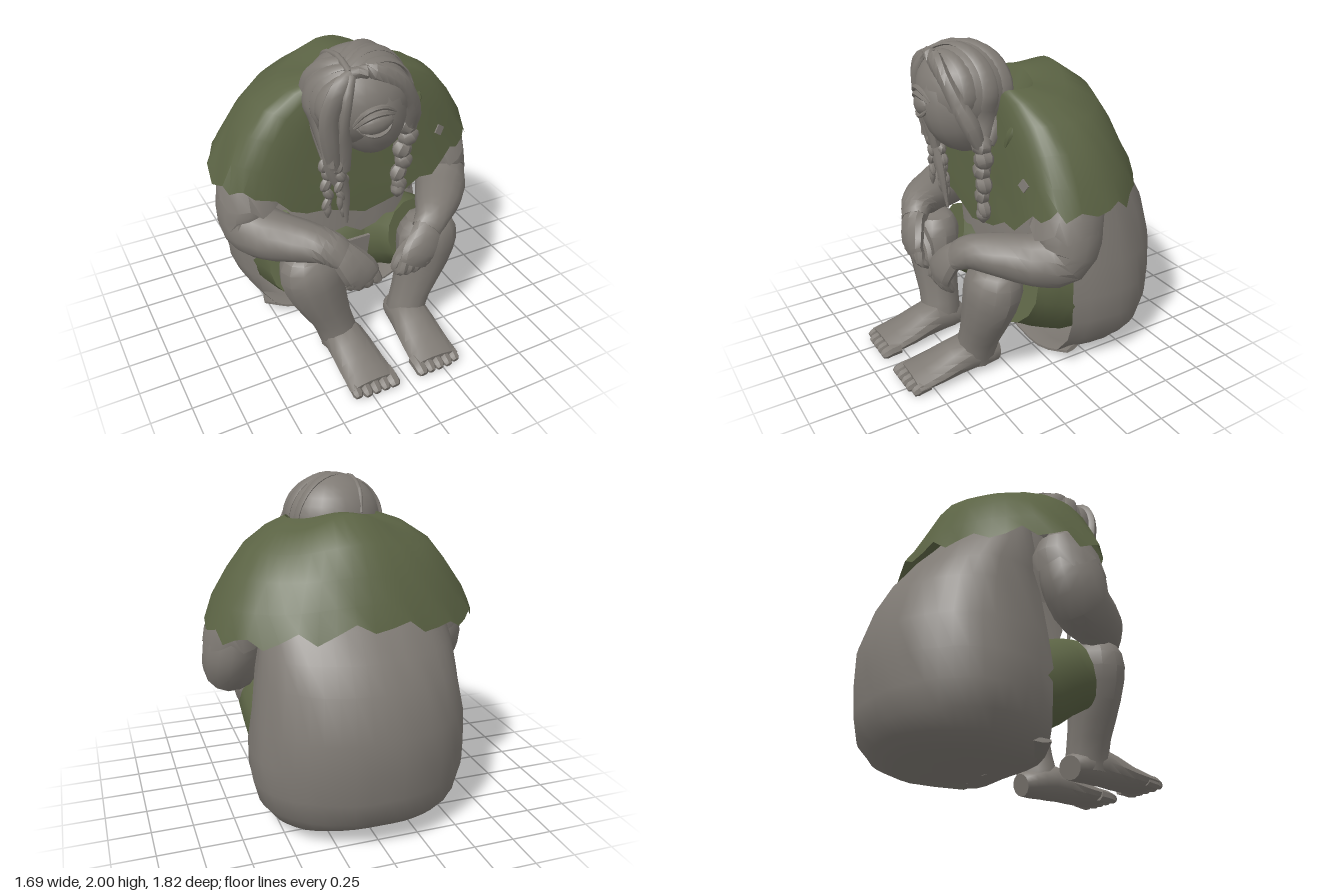
import * as THREE from 'three';
import { toCreasedNormals } from 'three/addons/utils/BufferGeometryUtils.js';

const grey = new THREE.MeshStandardMaterial({ color: 0x7f7a74, side: THREE.DoubleSide });
grey.name = 'stone grey';
const green = new THREE.MeshStandardMaterial({ color: 0x5b6344, side: THREE.DoubleSide });
green.name = 'moss green';

let seed = 7;
const rnd = () => (seed = (seed * 16807) % 2147483647) / 2147483647;

function mesh(name, geo, mat, crease = 0.6) {
  const m = new THREE.Mesh(toCreasedNormals(geo, crease), mat);
  m.name = name;
  return m;
}

function build(pos, idx) {
  const g = new THREE.BufferGeometry();
  g.setAttribute('position', new THREE.Float32BufferAttribute(pos, 3));
  g.setIndex(idx);
  return g;
}

// Closed limb along a curve; points are [x, y, z, width radius, depth radius]
function limb(pts, n = 10, sub = 2, side = [1, 0, 0]) {
  const path = new THREE.CatmullRomCurve3(pts.map(p => new THREE.Vector3(p[0], p[1], p[2])), false, 'catmullrom');
  const rad = new THREE.CatmullRomCurve3(pts.map(p => new THREE.Vector3(p[3], p[4] ?? p[3], 0)), false, 'catmullrom');
  const rows = (pts.length - 1) * sub, pos = [], idx = [], s = new THREE.Vector3(...side);
  for (let i = 0; i <= rows; i++) {
    const c = path.getPoint(i / rows), r = rad.getPoint(i / rows), t = path.getTangent(i / rows);
    const u = s.clone().addScaledVector(t, -s.dot(t)).normalize(), v = t.clone().cross(u);
    for (let j = 0; j < n; j++) {
      const a = j / n * Math.PI * 2;
      const p = c.clone().addScaledVector(u, r.x * Math.cos(a)).addScaledVector(v, r.y * Math.sin(a));
      pos.push(p.x, p.y, p.z);
    }
  }
  for (let i = 0; i < rows; i++) for (let j = 0; j < n; j++) {
    const k = (j + 1) % n, a = i * n + j, b = i * n + k;
    idx.push(a, b, b + n, a, b + n, a + n);
  }
  const e = pos.length / 3, last = rows * n;
  for (const i of [0, pts.length - 1]) pos.push(pts[i][0], pts[i][1], pts[i][2]);
  for (let j = 0; j < n; j++) {
    const k = (j + 1) % n;
    idx.push(e, k, j, e + 1, last + j, last + k);
  }
  return build(pos, idx);
}

// Draped cloth from rings [yBack, ySide, yFront, rx, zCentre, zBack, zFront], top to bottom
function drape(rings, { n = 48, a0 = 0, a1 = Math.PI * 2, jag = 0.05, hem = rings.length - 1, cx = 0, rough = 0.01, square = 1 } = {}) {
  const pos = [], idx = [];
  rings.forEach(([yb, ys, yf, rx, zc, zb, zf], i) => {
    const start = pos.length;
    for (let j = 0; j <= n; j++) {
      const a = a0 + (a1 - a0) * j / n, c = Math.cos(a), s = Math.sin(a), k = 1 + (rnd() - 0.5) * rough * 2;
      const w = Math.abs(c) ** (4 / square), p = c > 0 ? square : 1;
      const tear = i === hem ? jag * ((j % 3) - 1) * (0.4 + rnd()) : 0;
      const depth = c > 0 ? (zf - zc) * c ** p : (zc - zb) * c;
      pos.push(cx + rx * Math.sign(s) * Math.abs(s) ** p * k, ys + ((c > 0 ? yf : yb) - ys) * w + tear, zc + depth * k);
    }
    if (a1 - a0 > 6.28) for (let d = 0; d < 3; d++) pos[pos.length - 3 + d] = pos[start + d];
  });
  for (let i = 0; i < rings.length - 1; i++) for (let j = 0; j < n; j++) {
    const a = i * (n + 1) + j, b = a + n + 1;
    idx.push(a, b, b + 1, a, b + 1, a + 1);
  }
  return build(pos, idx);
}

function ball(name, [x, y, z], [rx, ry, rz], mat, w = 18, h = 12) {
  const m = mesh(name, new THREE.SphereGeometry(1, w, h).scale(rx, ry, rz), mat, 0.7);
  m.position.set(x, y, z);
  return m;
}

function makeSide(s) {
  const g = new THREE.Group();
  g.name = s > 0 ? 'leftLimbs' : 'rightLimbs';
  const L = (name, pts, mat = grey, n, sub) => g.add(mesh(name, limb(pts.map(p => [p[0] * s, ...p.slice(1)]), n, sub), mat));
  L('trouserLeg', [[.3, .38, -.38, .25], [.31, .45, -.1, .29, .27], [.36, .54, .1, .25, .24], [.39, .59, .24, .215, .215]], green, 14);
  L('shin', [[.42, .81, .36, .04], [.42, .77, .36, .15, .13], [.405, .65, .37, .2, .17], [.365, .48, .39, .175, .15],
    [.29, .27, .4, .13, .13], [.25, .14, .41, .125, .13], [.24, .07, .41, .12, .125]], grey, 12);
  L('foot', [[.25, .075, .28, .09, .07], [.245, .09, .34, .115, .088], [.235, .115, .48, .13, .112], [.225, .075, .68, .148, .073], [.22, .05, .85, .155, .045]], grey, 14);
  for (let i = 0; i < 5; i++) {
    const x = .1 + i * .06, r = i ? .032 : .04, end = i < 4 ? .905 : .89;
    L('toe', [[x, .05, .78, r], [x, .045, .84, r, .038], [x, .035, end - .02, r, .033], [x, .028, end, r * .65, .02]], grey, 7, 1);
  }
  L('arm', [[.54, 1.36, 0, .06], [.62, 1.22, .01, .14, .15], [.665, 1.04, .02, .17, .195], [.67, .89, .07, .168, .175], [.585, .87, .22, .16, .15],
    [.46, .89, .38, .14, .12], [.36, .89, .49, .11, .095], [.28, .84, .55, .092, .068]], grey, 14, 3);
  L('palm', [[.33, .9, .5, .07, .06], [.27, .83, .565, .095, .06], [.2, .73, .605, .115, .05], [.165, .66, .605, .105, .04]], grey, 10);
  for (let i = 0; i < 4; i++) {
    const x = .085 + i * .055, y = .7 + i * .008, tip = .585 - (i === 1 || i === 2 ? .02 : 0);
    L('finger', [[x + .02, y, .605, .032], [x, y - .06, .61, .032], [x - .005, tip + .03, .58, .028], [x - .005, tip, .555, .016]], grey, 7);
  }
  L('thumb', [[.19, .8, .55, .035], [.12, .72, .54, .034], [.075, .65, .55, .029], [.06, .61, .55, .014]], grey, 7);
  // Torn undershirt sleeve below the cape hem
  g.add(mesh('sleeve', drape([[1.26, 1.26, 1.26, .14, 0, -.16, .145], [1.16, 1.16, 1.16, .185, .02, -.2, .2], [1.06, 1.06, 1.04, .2, .03, -.19, .24]],
    { n: 18, jag: .035, cx: .637 * s }), grey));
  return g;
}

function makeHead() {
  const g = new THREE.Group();
  g.name = 'head';
  g.add(mesh('neck', limb([[0, 1.4, -.05, .2], [-.02, 1.55, .1, .17], [-.04, 1.68, .25, .15]]), grey));
  const face = ball('face', [-.025, 1.665, .3], [.225, .31, .275], grey);
  face.rotation.z = .16;
  const C = [-.065, 1.715, .285], R = [.305, .28, .28];
  g.add(face, ball('hairCap', C, R, grey, 24, 16));

  // Single half-closed eye with lids and brow
  const eye = new THREE.Group();
  eye.name = 'eye';
  eye.add(ball('eyeball', [0, 0, -.02], [.105, .065, .045], grey, 14, 8));
  const arc = (name, w, h, y, r) => eye.add(mesh(name, limb([[-w, y, -.03, r * .5], [-w * .55, y + h * .75, 0, r], [0, y + h, .01, r],
    [w * .55, y + h * .75, 0, r], [w, y, -.03, r * .5]], 6, 2, [0, 0, 1]), grey));
  arc('upperLid', .12, .06, .005, .017);
  arc('lowerLid', .11, -.065, 0, .012);
  arc('lidEdge', .1, -.012, .005, .008);
  arc('brow', .125, .085, .02, .014);
  eye.position.set(-.085, 1.655, .565);
  eye.rotation.set(.02, -.12, .2);
  g.add(eye);

  // Flat hair strands fanning from the parting over the cap, gathered at the braid roots
  const lock = (name, pts, side) => g.add(mesh(name, limb(pts, 8, 3, side), grey, 0.8));
  const strand = (name, z0, z1, from, to, root) => {
    const pts = [];
    for (let i = 0; i < 6; i++) {
      const t = i / 5, a = THREE.MathUtils.degToRad(from + (to - from) * t), dz = z0 + (z1 - z0) * Math.sin(t * Math.PI * .7);
      const k = Math.sqrt(1 - (dz / R[2]) ** 2) * .99;
      pts.push([C[0] + R[0] * k * Math.cos(a), C[1] + R[1] * k * Math.sin(a), C[2] + dz, .035 + .02 * t, .012]);
    }
    lock(name, [...pts, [...root, .04, .025]], [0, 0, 1]);
  };
  for (let i = 0; i < 3; i++) {
    strand('leftStrand', .17 - i * .06, .1 - i * .11, 117, -22, [.24, 1.47, .36 - i * .03]);
    strand('rightStrand', .17 - i * .06, .1 - i * .11, 115, 205, [-.29, 1.38, .43 - i * .04]);
  }
  lock('partingRidge', [[-.19, 1.93, .45, .02], [-.19, 1.965, .3, .018], [-.185, 1.91, .12, .016], [-.17, 1.78, .035, .01]]);
  lock('leftFrontLock', [[-.19, 1.925, .45, .03], [-.06, 1.92, .475, .05, .04], [.08, 1.84, .485, .055, .04], [.175, 1.71, .45, .05, .05], [.23, 1.58, .4, .055], [.25, 1.44, .35, .03]]);
  lock('rightFrontLock', [[-.18, 1.925, .45, .03], [-.26, 1.85, .47, .06, .04], [-.315, 1.7, .46, .06, .04], [-.3, 1.53, .44, .055, .045], [-.27, 1.36, .42, .035]]);
  lock('fringe', [[-.19, 1.92, .47, .025], [-.235, 1.8, .515, .03, .022], [-.245, 1.64, .5, .03, .022], [-.22, 1.5, .46, .04, .03], [-.2, 1.33, .42, .03]]);
  lock('hangingLock', [[-.29, 1.55, .4, .05], [-.26, 1.35, .4, .06, .045], [-.19, 1.15, .39, .035, .03], [-.165, .92, .37, .008]]);

  // Braids made of overlapping twisted lumps
  const braid = (name, [x0, y0, z0], [x1, y1, z1], count, r) => {
    for (let i = 0; i < count; i++) {
      const t = i / (count - 1), k = r * (1 - .35 * t);
      const m = ball(name, [x0 + (x1 - x0) * t + (i % 2 ? .2 : -.2) * k, y0 + (y1 - y0) * t, z0 + (z1 - z0) * t], [k, (y0 - y1) / count * .9, k * .85], grey, 7, 6);
      m.rotation.z = i % 2 ? .5 : -.5;
      g.add(m);
    }
    lock(name + 'Tip', [[x1, y1, z1, r * .45], [x1, y1 - .05, z1, r * .6], [x1, y1 - .1, z1, .006]]);
  };
  braid('leftBraid', [.245, 1.47, .34], [.205, 1.06, .32], 6, .074);
  braid('thinBraid', [-.245, 1.36, .43], [-.24, 1.17, .43], 4, .034);
  braid('rightBraid', [-.29, 1.35, .36], [-.28, 1.08, .35], 5, .042);
  braid('innerBraid', [-.2, 1.3, .38], [-.185, 1.06, .36], 5, .038);
  return g;
}

export function createModel() {
  seed = 7;
  const model = new THREE.Group();
  model.name = 'seatedGiant';

  // Torn cape with neck opening
  model.add(mesh('cape', drape([
    [1.7, 1.64, 1.38, .23, .12, .02, .2], [1.81, 1.775, 1.46, .29, .08, -.05, .235], [1.835, 1.73, 1.37, .42, .02, -.26, .255], [1.7, 1.635, 1.28, .56, -.03, -.45, .265],
    [1.54, 1.5, 1.17, .67, -.05, -.54, .27], [1.4, 1.34, 1.06, .765, -.05, -.61, .28], [1.27, 1.19, .94, .83, -.05, -.665, .285],
  ], { jag: .04, square: .58, rough: .012 }), green, 0.8));
  const fold = mesh('capeFold', limb([[.33, 1.47, .23, .02], [.37, 1.56, .23, .03, .02], [.385, 1.66, .18, .004]], 6), green);
  const patch = mesh('capeTear', new THREE.CylinderGeometry(.04, .04, .008, 4).rotateX(Math.PI / 2), grey);
  patch.position.set(.53, 1.31, .246);
  patch.rotation.set(-.1, .25, .2);
  model.add(fold, patch);

  // Undershirt front and wide gown wrapping back and underside
  model.add(mesh('undershirt', drape([
    [1.4, 1.4, 1.3, .48, -.15, -.46, .18], [1.2, 1.2, 1.05, .53, -.15, -.56, .22], [.9, .92, .74, .53, -.15, -.7, .24],
  ], { jag: .03, square: .8 }), grey));
  const gown = [[1.4, .5, -.22, -.5, .1], [1.25, .55, -.28, -.63, .15], [1.1, .575, -.35, -.74, .22], [.95, .595, -.38, -.83, .28], [.7, .635, -.4, -.905, .34],
    [.5, .65, -.4, -.905, .36], [.33, .655, -.4, -.89, .36], [.19, .62, -.4, -.86, .38], [.09, .54, -.38, -.79, .42], [.03, .42, -.36, -.66, .36], [.02, 0, -.05, -.05, -.05]];
  model.add(mesh('gown', drape(gown.map(([y, ...r]) => [y > .02 && y < .1 ? y + .03 : y, y, y, ...r]),
    { n: 28, a0: 1.13, a1: Math.PI * 2 - 1.13, hem: -1, rough: .014 }), grey, 0.8));
  // Front rim of the gown spread on the ground
  model.add(mesh('gownHem', limb([[-.54, .1, -.12, .015, .06], [-.32, .04, -.06, .015, .07], [0, .03, -.08, .012, .08], [.32, .04, -.06, .015, .07], [.54, .1, -.12, .015, .06]], 6, 3, [0, 1, 0]), grey));

  // Trouser seat and hanging cloth point
  model.add(ball('trouserSeat', [0, .42, -.27], [.57, .37, .42], green));
  const tip = new THREE.Shape([[-.1, .63], [.09, .63], [.07, .48], [.02, .31], [-.03, .31], [-.1, .5]].map(p => new THREE.Vector2(...p)));
  const flap = mesh('clothPoint', new THREE.ExtrudeGeometry(tip, { depth: .02, bevelEnabled: false }), grey);
  flap.position.z = .18;
  model.add(flap);

  model.add(makeSide(1), makeSide(-1), makeHead());
  return model;
}
